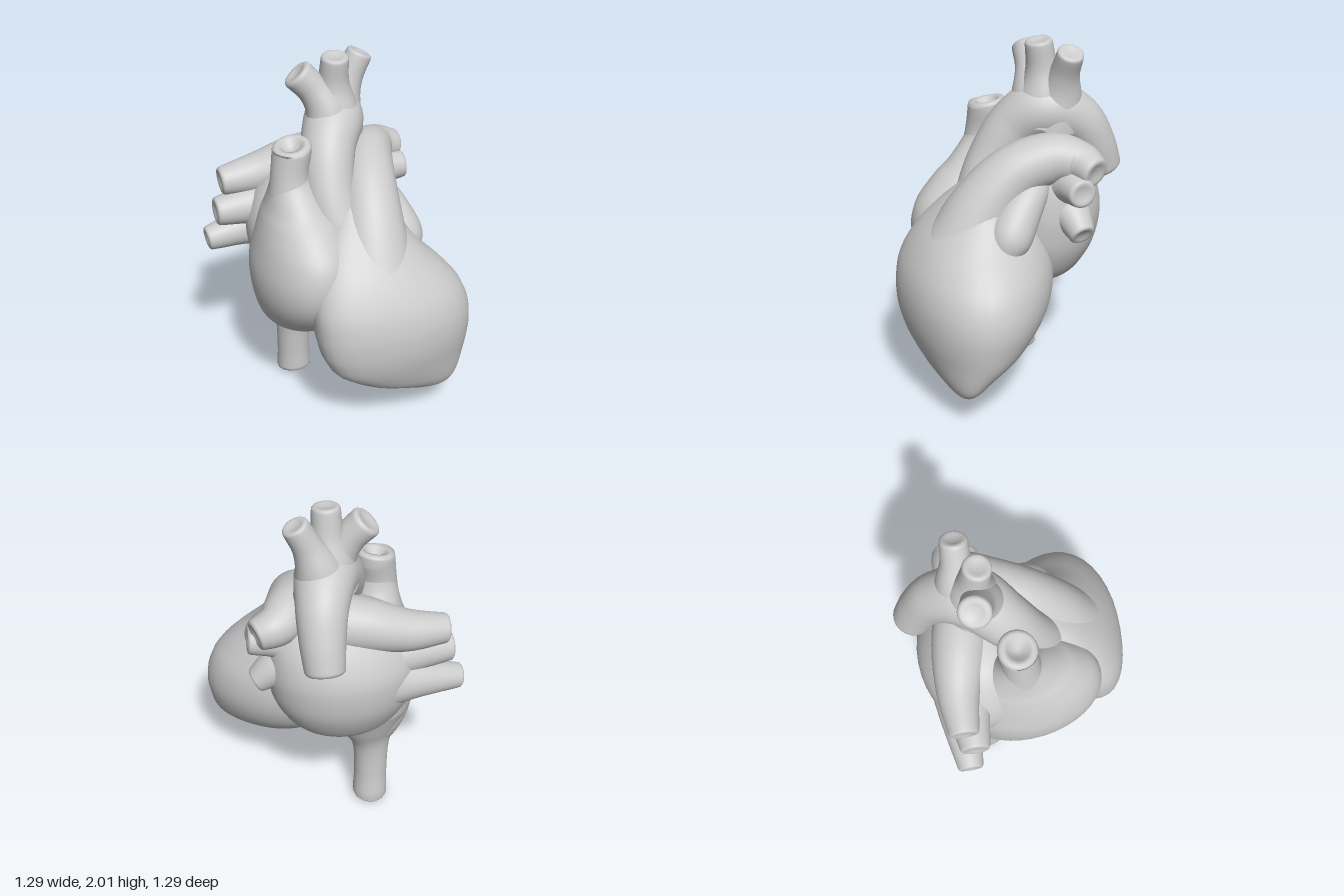
import * as THREE from 'three';

const material = new THREE.MeshStandardMaterial({ color: 0xcccccc, roughness: 0.7, side: THREE.DoubleSide });
const SIDES = 40;

// Skins a list of closed rings (each SIDES points, counter-clockwise about the travel direction)
function skin(name, rings) {
  const position = [], index = [];
  rings.forEach((ring) => ring.forEach((p) => position.push(p.x, p.y, p.z)));
  for (let i = 0; i < rings.length - 1; i++) {
    for (let j = 0; j < SIDES; j++) {
      const k = (j + 1) % SIDES;
      const a = i * SIDES + j, b = i * SIDES + k, c = a + SIDES, d = b + SIDES;
      index.push(a, b, d, a, d, c);
    }
  }
  const geometry = new THREE.BufferGeometry();
  geometry.setAttribute('position', new THREE.Float32BufferAttribute(position, 3));
  geometry.setIndex(index);
  geometry.computeVertexNormals();
  const mesh = new THREE.Mesh(geometry, material);
  mesh.name = name;
  return mesh;
}

const spline = (points) => new THREE.CatmullRomCurve3(points, false, 'catmullrom', 0.5);
const angles = Array.from({ length: SIDES }, (_, j) => (j / SIDES) * Math.PI * 2);

// Chamber lofted upwards through sections [y, xMin, xMax, zMin, zMax];
// pear narrows the back of each section, bulge pushes its -x flank forwards
function chamber(name, sections, pear = 0, bulge = 0) {
  const centres = spline(sections.map(([y, a, b, c, d]) => new THREE.Vector3((a + b) / 2, y, (c + d) / 2)));
  const halves = spline(sections.map(([, a, b, c, d]) => new THREE.Vector3((b - a) / 2, 0, (d - c) / 2)));
  const rings = [], steps = sections.length * 6;
  for (let i = 0; i <= steps; i++) {
    const centre = centres.getPoint(i / steps), half = halves.getPoint(i / steps);
    rings.push(angles.map((t) => {
      const s = Math.sin(t), c = Math.cos(t);
      const x = s * (1 + pear * c) / (1 + pear * pear / 2);
      const z = c + bulge * Math.min(s, 0) ** 2;
      return new THREE.Vector3(centre.x + half.x * x, centre.y, centre.z + half.z * z);
    }));
  }
  return skin(name, rings);
}

// Vessel swept through stations [x, y, z, radius], closed by a rounded rim with a shallow hollow
function vessel(name, stations, hollow = 0.03, tilt = null) {
  const path = spline(stations.map(([x, y, z]) => new THREE.Vector3(x, y, z)));
  const radii = spline(stations.map((s) => new THREE.Vector3(s[3], 0, 0)));
  const rings = [], steps = stations.length * 8;
  const normal = new THREE.Vector3(0.31, 0.22, 0.92), binormal = new THREE.Vector3();
  let centre, tangent, radius;
  const ring = (r, shift) => angles.map((t) => centre.clone()
    .addScaledVector(tangent, shift)
    .addScaledVector(normal, r * Math.cos(t))
    .addScaledVector(binormal, r * Math.sin(t)));
  for (let i = 0; i <= steps; i++) {
    centre = path.getPoint(i / steps);
    tangent = path.getTangent(i / steps);
    if (tilt && i === steps) tangent.add(tilt).normalize();
    radius = radii.getPoint(i / steps).x;
    normal.addScaledVector(tangent, -normal.dot(tangent)).normalize();
    binormal.crossVectors(tangent, normal);
    rings.push(ring(radius, 0));
  }
  // rim: [radius factor, shift factor]
  [[0.97, 0.1], [0.88, 0.19], [0.74, 0.22], [0.55, 0.17], [0.35, 0.13 - hollow], [0.01, 0.12 - hollow]]
    .forEach(([r, s]) => rings.push(ring(radius * r, radius * s)));
  return skin(name, rings);
}

export function createModel() {
  const heart = new THREE.Group();
  heart.name = 'heart';

  // Both ventricles, from the apex up to the outflow
  heart.add(chamber('ventricles', [
    [0.178, 0.41, 0.43, 0.45, 0.47],
    [0.2, 0.30, 0.48, 0.40, 0.52],
    [0.24, 0.17, 0.525, 0.33, 0.55],
    [0.3, -0.01, 0.56, 0.22, 0.58],
    [0.4, -0.19, 0.605, 0.02, 0.615],
    [0.5, -0.26, 0.63, -0.09, 0.64],
    [0.6, -0.29, 0.642, -0.15, 0.65],
    [0.7, -0.30, 0.63, -0.18, 0.645],
    [0.8, -0.30, 0.59, -0.19, 0.62],
    [0.9, -0.28, 0.51, -0.19, 0.57],
    [1.0, -0.24, 0.41, -0.18, 0.5],
    [1.1, -0.18, 0.33, -0.14, 0.41],
    [1.2, -0.10, 0.28, -0.1, 0.31],
    [1.32, 0.0, 0.22, -0.05, 0.17],
    [1.36, 0.1, 0.12, 0.04, 0.06],
  ], 0.28, 0.22));

  // Right atrium with its auricle towards the front
  heart.add(chamber('rightAtrium', [
    [0.4, -0.23, -0.17, -0.23, -0.17],
    [0.43, -0.32, -0.08, -0.28, -0.02],
    [0.5, -0.39, -0.03, -0.32, 0.13],
    [0.6, -0.45, 0.0, -0.35, 0.28],
    [0.75, -0.492, 0.02, -0.37, 0.4],
    [0.9, -0.5, 0.03, -0.38, 0.44],
    [1.05, -0.47, 0.02, -0.35, 0.41],
    [1.18, -0.43, -0.02, -0.3, 0.3],
    [1.26, -0.4, -0.07, -0.24, 0.2],
    [1.38, -0.37, -0.14, -0.16, 0.09],
    [1.46, -0.35, -0.17, -0.13, 0.06],
  ]));

  // Left atrium: rounded sac at the back
  heart.add(chamber('leftAtrium', [
    [0.555, -0.1, -0.08, -0.21, -0.19],
    [0.575, -0.2, 0.07, -0.31, -0.08],
    [0.62, -0.27, 0.19, -0.38, 0.0],
    [0.7, -0.35, 0.29, -0.455, 0.06],
    [0.85, -0.42, 0.37, -0.53, 0.1],
    [1.0, -0.445, 0.4, -0.556, 0.1],
    [1.12, -0.43, 0.4, -0.545, 0.08],
    [1.25, -0.37, 0.38, -0.485, 0.02],
    [1.36, -0.26, 0.32, -0.4, -0.05],
    [1.42, -0.08, 0.2, -0.3, -0.12],
    [1.43, 0.05, 0.07, -0.22, -0.2],
  ]));

  // Left auricle: broad tongue lying beside the pulmonary trunk
  heart.add(vessel('leftAuricle', [
    [0.22, 1.28, -0.1, 0.08], [0.27, 1.2, 0.0, 0.1], [0.3, 1.1, 0.09, 0.12],
    [0.335, 1.0, 0.16, 0.115], [0.36, 0.91, 0.21, 0.06],
  ]));

  // Aorta rising, arching backwards and descending
  heart.add(vessel('aorta', [
    [-0.02, 1.02, 0.16, 0.15], [-0.06, 1.28, 0.05, 0.14], [-0.02, 1.5, -0.08, 0.15],
    [0.075, 1.61, -0.22, 0.165], [0.14, 1.54, -0.38, 0.14], [0.165, 1.4, -0.475, 0.123],
    [0.17, 1.25, -0.54, 0.108],
  ]));

  // Three branches on top of the arch
  heart.add(vessel('rightArchBranch', [
    [0.03, 1.56, -0.17, 0.15], [0.01, 1.7, -0.18, 0.115], [-0.05, 1.81, -0.205, 0.088], [-0.128, 1.9, -0.23, 0.088]]));
  heart.add(vessel('middleArchBranch', [
    [0.06, 1.54, -0.2, 0.16], [0.065, 1.7, -0.21, 0.135], [0.065, 1.84, -0.2, 0.088], [0.065, 1.982, -0.18, 0.075]]));
  heart.add(vessel('leftArchBranch', [
    [0.1, 1.54, -0.26, 0.16], [0.135, 1.7, -0.275, 0.12], [0.185, 1.83, -0.27, 0.082], [0.245, 1.95, -0.265, 0.072]]));

  // Great veins entering the right atrium from above and below
  heart.add(vessel('upperVein', [
    [-0.24, 1.05, 0.0, 0.17], [-0.26, 1.25, -0.02, 0.135], [-0.265, 1.42, -0.03, 0.105], [-0.245, 1.573, -0.04, 0.107],
  ], 0.3, new THREE.Vector3(-0.3, 0, 0.2)));
  heart.add(vessel('lowerVein', [
    [-0.18, 0.68, -0.17, 0.24], [-0.185, 0.53, -0.185, 0.165], [-0.195, 0.4, -0.2, 0.108],
    [-0.195, 0.2, -0.21, 0.095], [-0.19, 0.035, -0.22, 0.1],
  ], 0.03, new THREE.Vector3(0, 0, 0.25)));

  // Pulmonary trunk sweeping up and to the left, with the branch crossing behind the aorta
  heart.add(vessel('pulmonaryTrunk', [
    [0.09, 0.86, 0.31, 0.24], [0.12, 1.12, 0.2, 0.185], [0.17, 1.31, 0.04, 0.155],
    [0.25, 1.39, -0.15, 0.14], [0.35, 1.38, -0.265, 0.115], [0.46, 1.355, -0.29, 0.088],
  ]));
  heart.add(vessel('rightPulmonaryArtery', [
    [0.27, 1.35, -0.16, 0.13], [0.1, 1.37, -0.27, 0.145], [-0.1, 1.34, -0.33, 0.145],
    [-0.32, 1.29, -0.375, 0.115], [-0.53, 1.27, -0.385, 0.082],
  ]));

  // Pulmonary veins: two on each side, flaring into the left atrium
  const veins = [
    ['rightUpperPulmonaryVein', [-0.1, 1.1, -0.26, 0.22], [-0.34, 1.12, -0.33, 0.13], [-0.58, 1.11, -0.34, 0.082]],
    ['rightLowerPulmonaryVein', [-0.08, 0.98, -0.31, 0.24], [-0.35, 0.965, -0.375, 0.125], [-0.63, 0.925, -0.38, 0.07]],
    ['leftUpperPulmonaryVein', [0.12, 1.16, -0.24, 0.2], [0.32, 1.25, -0.22, 0.115], [0.485, 1.26, -0.2, 0.078]],
    ['leftLowerPulmonaryVein', [0.12, 1.08, -0.24, 0.2], [0.32, 1.09, -0.23, 0.12], [0.46, 1.01, -0.225, 0.072]],
  ];
  veins.forEach(([name, ...stations]) => heart.add(vessel(name, stations)));

  return heart;
}
